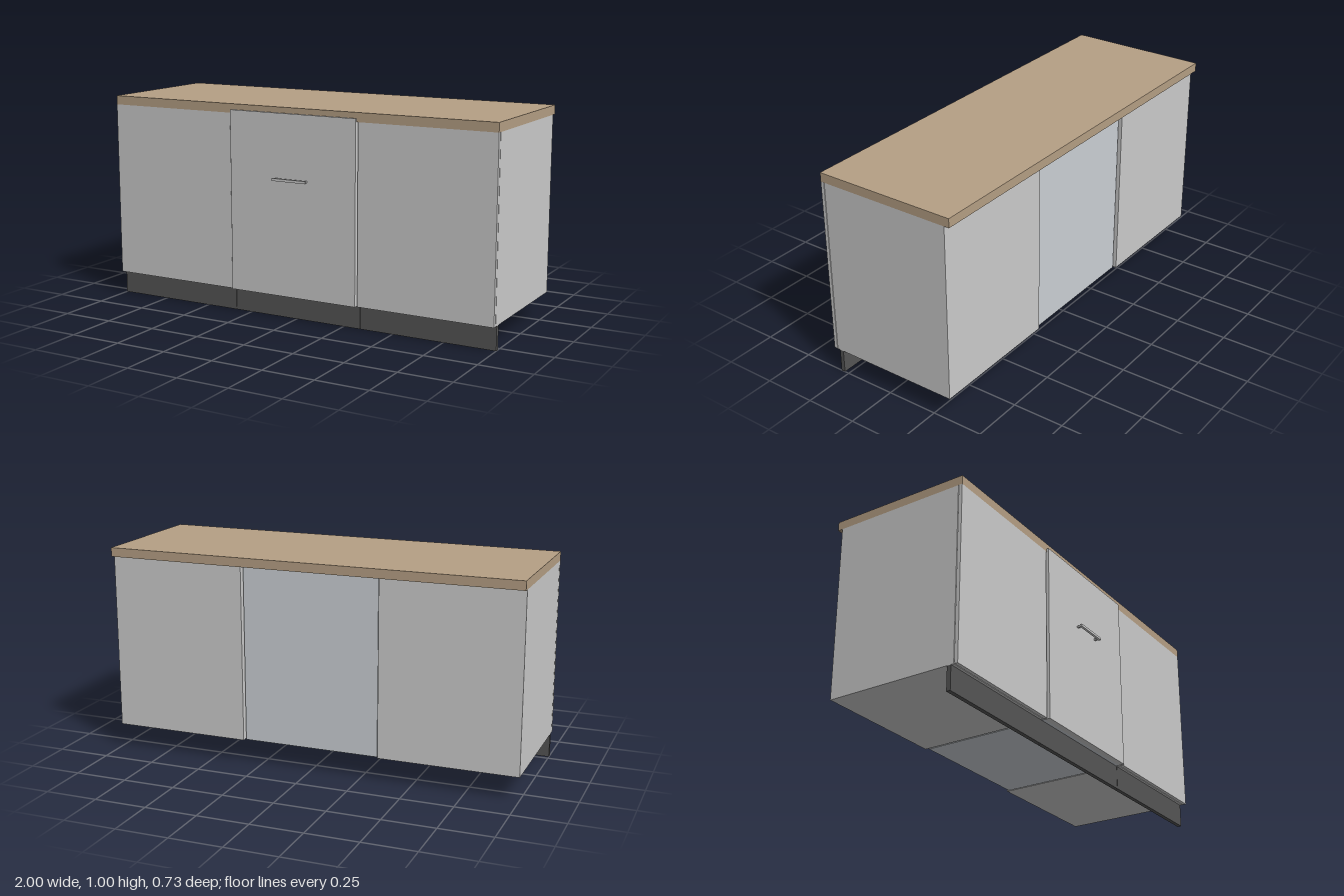
import * as THREE from 'three';

const grey = new THREE.MeshStandardMaterial({ color: 0xcccccc });
const wood = new THREE.MeshStandardMaterial({ color: 0xb59f84 });
const dark = new THREE.MeshStandardMaterial({ color: 0x555555 });
const steel = new THREE.MeshStandardMaterial({ color: 0xcbd0d5 });

// Box given by its extents along each axis
function block(name, [x0, x1], [y0, y1], [z0, z1], material) {
  const mesh = new THREE.Mesh(new THREE.BoxGeometry(x1 - x0, y1 - y0, z1 - z0), material);
  mesh.position.set((x0 + x1) / 2, (y0 + y1) / 2, (z0 + z1) / 2);
  mesh.name = name;
  return mesh;
}

export function createModel() {
  const model = new THREE.Group();
  model.name = 'kitchenBaseUnits';
  const base = 0.113, under = 0.957;
  const inner = 0.337, half = 0.33;

  // Worktop across all three units
  model.add(block('worktop', [-1, 1], [under, 1], [-0.365, 0.325], wood));

  // Outer cupboards: carcass, door with a fine shadow gap, plinth
  for (const side of [-1, 1]) {
    const x = side < 0 ? [-1, -inner] : [inner, 1];
    const cupboard = new THREE.Group();
    cupboard.name = side < 0 ? 'rightCupboard' : 'leftCupboard';
    cupboard.add(
      block('carcass', x, [base, under], [-0.34, 0.305], grey),
      block('door', x, [base, under], [0.308, 0.325], grey),
      block('plinth', x, [0, base], [0.272, 0.292], dark)
    );
    model.add(cupboard);
  }

  // Middle appliance: narrower body set back at the rear, door standing proud
  const appliance = new THREE.Group();
  appliance.name = 'middleAppliance';
  const x = [-half, half];
  appliance.add(
    block('applianceBody', x, [base, under], [-0.325, 0.308], steel),
    block('applianceDoor', x, [base, 0.973], [0.308, 0.335], grey),
    block('appliancePlinth', [-inner + 0.002, inner - 0.002], [0, base], [0.272, 0.292], dark)
  );

  // Bar handle on two posts
  const handle = new THREE.Group();
  handle.name = 'handle';
  handle.add(block('handleBar', [-0.088, 0.088], [0.663, 0.675], [0.353, 0.365], grey));
  for (const px of [-0.078, 0.078]) {
    handle.add(block('handlePost', [px - 0.005, px + 0.005], [0.665, 0.673], [0.335, 0.353], grey));
  }
  appliance.add(handle);
  model.add(appliance);
  return model;
}
